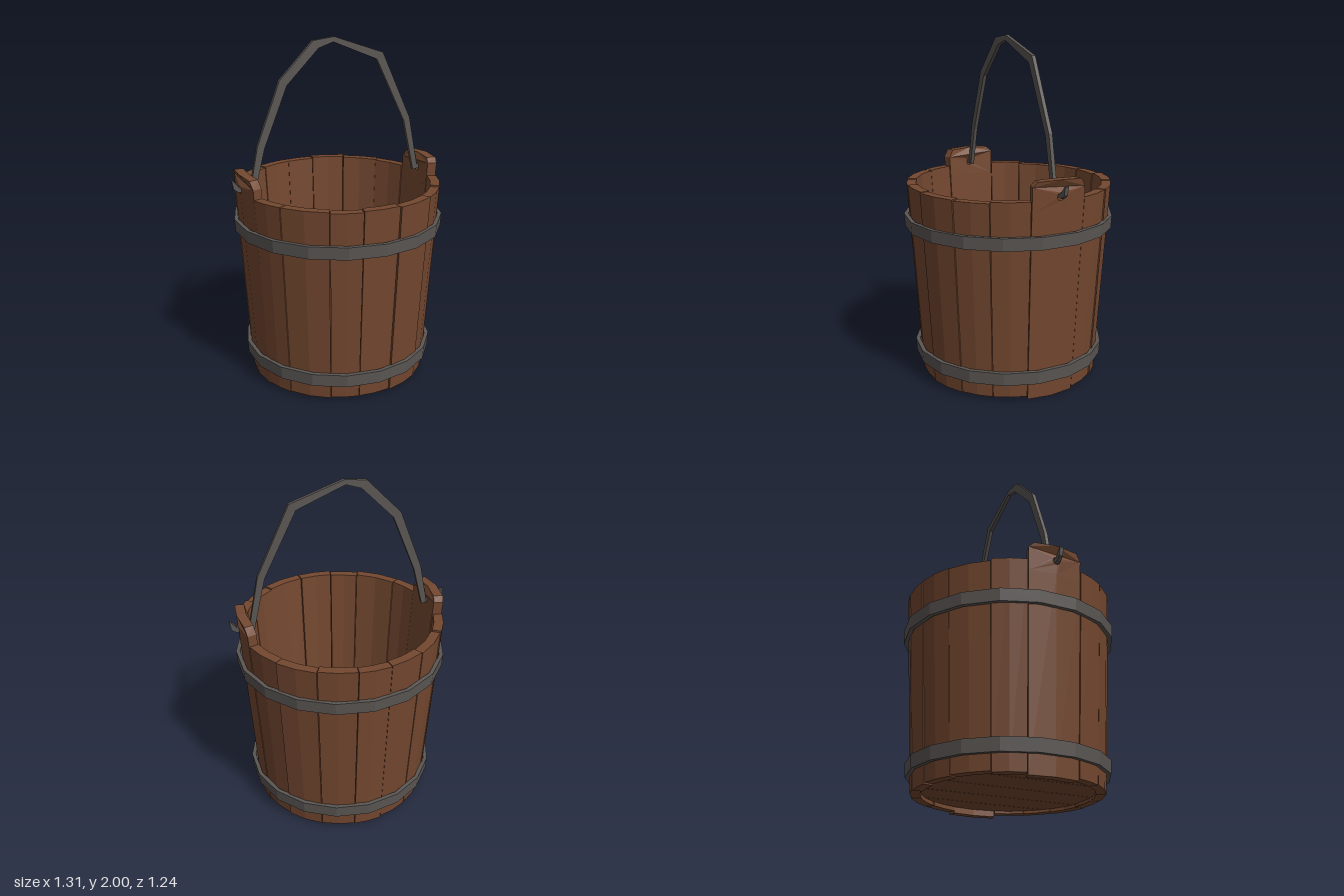
import * as THREE from 'three';

const wood = new THREE.MeshStandardMaterial({ color: 0x744830, flatShading: true });
wood.name = 'brown wood';
const iron = new THREE.MeshStandardMaterial({ color: 0x5a5653, flatShading: true });
iron.name = 'dark iron';

const RIM = 1.16, THICK = 0.055, EAR = 0.275; // rim height, stave thickness, ear half angle
const radius = (y) => 0.53 + 0.072 * y / RIM; // outer radius of the tapered wall

let seed = 7;
const jitter = (s) => {
  seed = (seed * 16807) % 2147483647;
  return (seed / 2147483647 - 0.5) * 2 * s;
};

function add(group, name, geometry, material) {
  const mesh = new THREE.Mesh(geometry, material);
  mesh.name = name;
  group.add(mesh);
  return mesh;
}

// Wraps a flat piece onto the wall: x is an angle, z is depth (0 inside, 1 outside)
function wrap(geometry, angle, push = 0) {
  const p = geometry.attributes.position;
  for (let i = 0; i < p.count; i++) {
    const a = angle + p.getX(i), y = p.getY(i);
    const r = radius(y) + push - THICK * (1 - p.getZ(i));
    p.setXYZ(i, Math.sin(a) * r, y, Math.cos(a) * r);
  }
  geometry.computeVertexNormals();
  return geometry;
}

function stave(from, to, bottom, top, push) {
  const g = new THREE.BoxGeometry(to - from - 0.007, top - bottom, 1, 2, 1, 1);
  g.translate(0, (top + bottom) / 2, 0.5);
  return wrap(g, (from + to) / 2, push);
}

// Raised lug with chamfered corners and a round hole for the handle
function ear(angle) {
  const w = EAR - 0.004;
  const s = new THREE.Shape([
    [-w, 1.1], [0, 1.1], [w, 1.1], [w, 1.22], [w - 0.05, 1.265],
    [0, 1.272], [-w + 0.05, 1.268], [-w, 1.24],
  ].map(([x, y]) => new THREE.Vector2(x, y)));
  const hole = new THREE.Path();
  hole.absellipse(0, 1.18, 0.038, 0.022, 0, Math.PI * 2, true);
  s.holes.push(hole);
  return wrap(new THREE.ExtrudeGeometry(s, { depth: 1, bevelEnabled: false, curveSegments: 4 }), angle);
}

// Flat bar following a path in the xy plane; each point is [x, y, half width]
function bar(path, depth) {
  const left = [], right = [];
  path.forEach(([x, y, w], i) => {
    const a = path[Math.max(i - 1, 0)], b = path[Math.min(i + 1, path.length - 1)];
    const dx = b[0] - a[0], dy = b[1] - a[1], l = Math.hypot(dx, dy);
    left.push(new THREE.Vector2(x - dy / l * w, y + dx / l * w));
    right.unshift(new THREE.Vector2(x + dy / l * w, y - dx / l * w));
  });
  const g = new THREE.ExtrudeGeometry(new THREE.Shape([...left, ...right]), { depth, bevelEnabled: false });
  return g.translate(0, 0, -depth / 2 - 0.004);
}

export function createModel() {
  const bucket = new THREE.Group();
  bucket.name = 'bucket';

  // Staves: one wide stave with an ear on each side, seven between them front and back
  const staves = new THREE.Group();
  staves.name = 'staves';
  bucket.add(staves);
  const count = 7, quarter = Math.PI / 2;
  const step = (Math.PI - 2 * EAR) / count;
  for (const centre of [0, Math.PI]) {
    const side = centre + quarter;
    add(staves, 'earStave', stave(side - EAR, side + EAR, 0, 1.1, 0), wood);
    add(staves, 'ear', ear(side), wood);
    const cuts = [];
    for (let i = 0; i <= count; i++) {
      const inner = i > 0 && i < count;
      cuts.push(centre - quarter + EAR + i * step + (inner ? jitter(0.05) : 0));
    }
    for (let i = 0; i < count; i++) {
      const bottom = 0.014 + jitter(0.007), top = RIM + jitter(0.007);
      add(staves, 'stave', stave(cuts[i], cuts[i + 1], bottom, top, jitter(0.005)), wood);
    }
  }

  // Floor planks clipped to a circle, with narrow gaps between them
  const floor = new THREE.Group();
  floor.name = 'floor';
  bucket.add(floor);
  const R = 0.485;
  const joints = [-0.48, -0.32, -0.106, 0.104, 0.302, 0.48];
  for (let i = 0; i < joints.length - 1; i++) {
    const x0 = joints[i] + 0.002, x1 = joints[i + 1] - 0.002;
    const near = [], far = [];
    for (let k = 0; k <= 4; k++) {
      const x = x0 + (x1 - x0) * k / 4, z = Math.sqrt(R * R - x * x);
      near.push(new THREE.Vector2(x, -z));
      far.unshift(new THREE.Vector2(x, z));
    }
    const g = new THREE.ExtrudeGeometry(new THREE.Shape([...near, ...far]), { depth: 0.04, bevelEnabled: false });
    add(floor, 'floorPlank', g.rotateX(-Math.PI / 2).translate(0, 0.035, 0), wood);
  }

  // Iron hoops standing slightly off the wall
  for (const [name, low, high] of [['lowerHoop', 0.105, 0.18], ['upperHoop', 0.9, 0.973]]) {
    const profile = [[0.006, low], [0.03, low], [0.03, high], [0.006, high], [0.006, low]]
      .map(([out, y]) => new THREE.Vector2(radius(y) + out, y));
    add(bucket, name, new THREE.LatheGeometry(profile, 18), iron);
  }

  // Bent handle
  add(bucket, 'handle', bar([
    [-0.53, 1.17, 0.016], [-0.475, 1.41, 0.022], [-0.335, 1.76, 0.026], [-0.135, 1.962, 0.027],
    [-0.025, 1.985, 0.015], [0.27, 1.878, 0.027], [0.46, 1.49, 0.021], [0.53, 1.17, 0.016],
  ], 0.022), iron);

  // Handle ends passing through the ears and hooked upward
  for (const s of [-1, 1]) {
    const end = bar([[0.515, 1.185, 0.012], [0.615, 1.185, 0.014], [0.632, 1.2, 0.016], [0.652, 1.242, 0.003]], 0.022);
    if (s < 0) end.rotateY(Math.PI);
    add(bucket, 'handleHook', end, iron);
  }
  return bucket;
}
